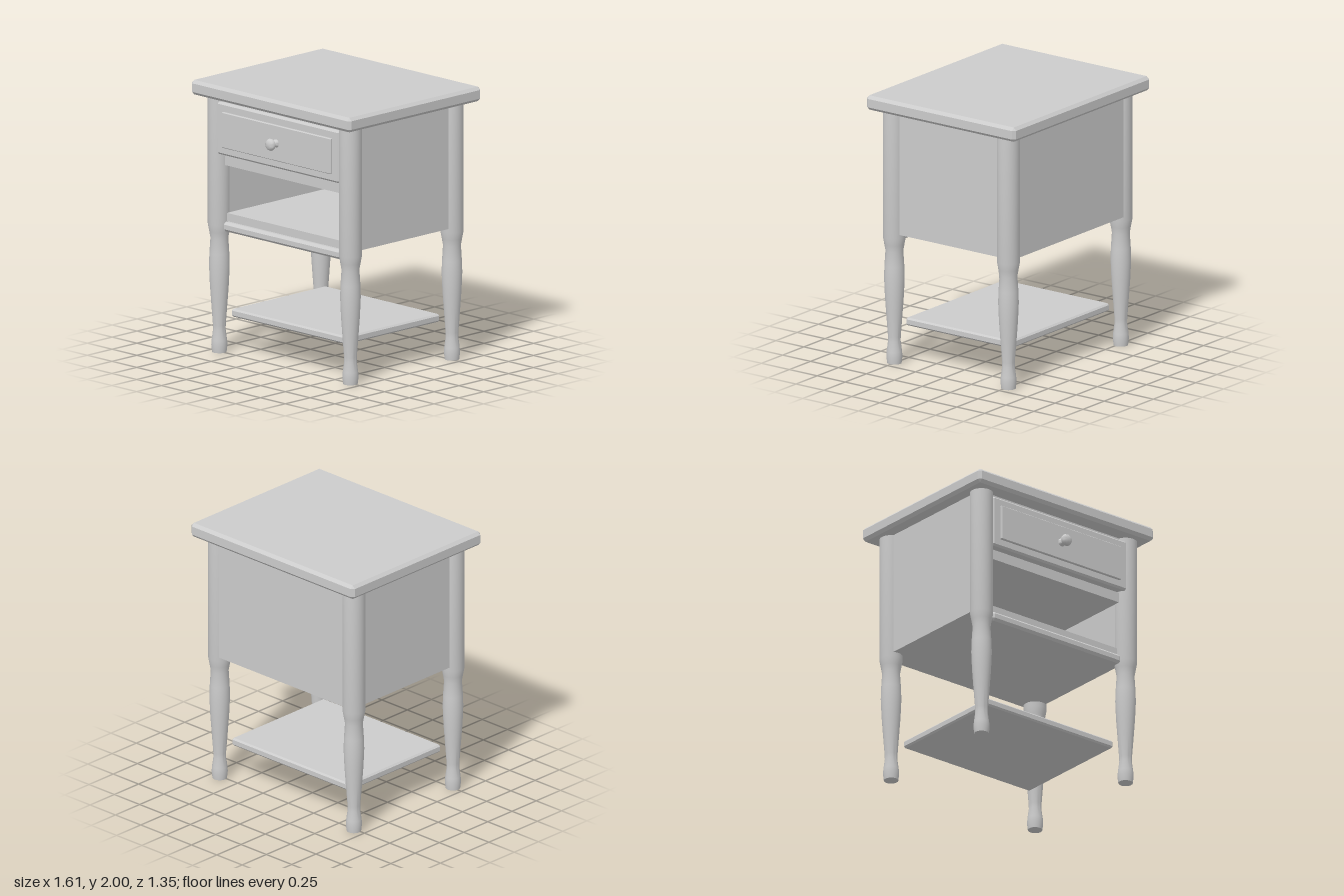
import * as THREE from 'three';
import { ConvexGeometry } from 'three/addons/geometries/ConvexGeometry.js';
import { toCreasedNormals } from 'three/addons/utils/BufferGeometryUtils.js';

export function createModel() {
  const group = new THREE.Group();
  const grey = new THREE.MeshStandardMaterial({ color: 0xcccccc });
  grey.name = 'grey';

  const add = (name, geometry) => {
    const mesh = new THREE.Mesh(geometry, grey);
    mesh.name = name;
    group.add(mesh);
    return mesh;
  };

  // Box between two corners, with all edges chamfered by c
  const block = (name, [x0, x1], [y0, y1], [z0, z1], c = 0) => {
    const size = [x1 - x0, y1 - y0, z1 - z0];
    let geometry;
    if (c > 0) {
      const points = [];
      for (const sx of [-1, 1]) for (const sy of [-1, 1]) for (const sz of [-1, 1]) {
        for (let axis = 0; axis < 3; axis++) {
          const p = [sx, sy, sz].map((s, i) => s * (size[i] / 2 - (i === axis ? 0 : c)));
          points.push(new THREE.Vector3(...p));
        }
      }
      geometry = new ConvexGeometry(points);
    } else {
      geometry = new THREE.BoxGeometry(...size);
    }
    add(name, geometry).position.set((x0 + x1) / 2, (y0 + y1) / 2, (z0 + z1) / 2);
  };

  const lathe = (profile, sides) =>
    new THREE.LatheGeometry(profile.map(([r, y]) => new THREE.Vector2(r, y)), sides);

  // Table top
  block('tableTop', [-0.805, 0.805], [1.893, 2], [-0.677, 0.66], 0.022);

  // Four turned legs
  const legGeometry = toCreasedNormals(lathe([
    [0, 0], [0.052, 0], [0.058, 0.05], [0.055, 0.09], [0.045, 0.165], [0.046, 0.2],
    [0.058, 0.36], [0.068, 0.5], [0.074, 0.64], [0.071, 0.73], [0.064, 0.84],
    [0.073, 0.89], [0.083, 0.945], [0.083, 1.9], [0, 1.9],
  ], 32), 0.6);
  for (const x of [-0.662, 0.662]) for (const z of [-0.516, 0.506]) {
    add(`${z > 0 ? 'front' : 'back'}${x > 0 ? 'Left' : 'Right'}Leg`, legGeometry).position.set(x, 0, z);
  }

  // Case around the open compartment
  block('leftSidePanel', [0.582, 0.7], [0.975, 1.9], [-0.52, 0.5]);
  block('rightSidePanel', [-0.7, -0.582], [0.975, 1.9], [-0.52, 0.5]);
  block('backPanel', [-0.66, 0.66], [0.975, 1.9], [-0.58, -0.48]);
  block('compartmentFloor', [-0.585, 0.585], [0.975, 1.035], [-0.49, 0.51]);
  block('drawerBox', [-0.585, 0.585], [1.39, 1.9], [-0.49, 0.51]);

  // Front rails
  block('lowerRail', [-0.59, 0.59], [0.905, 0.975], [0.47, 0.55], 0.018);
  block('middleRail', [-0.585, 0.585], [1.39, 1.465], [0.48, 0.53]);
  block('upperRail', [-0.585, 0.585], [1.85, 1.9], [0.48, 0.53]);

  // Drawer front with its raised panel
  block('drawerFront', [-0.618, 0.618], [1.475, 1.86], [0.49, 0.58], 0.014);
  block('drawerPanel', [-0.55, 0.55], [1.535, 1.797], [0.57, 0.597], 0.005);

  // Knob
  const knob = add('drawerKnob', toCreasedNormals(lathe([
    [0.03, 0], [0.026, 0.008], [0.014, 0.022], [0.014, 0.03], [0.026, 0.038],
    [0.042, 0.046], [0.044, 0.056], [0.038, 0.07], [0.024, 0.079], [0, 0.08],
  ], 24), 0.7));
  knob.rotation.x = Math.PI / 2;
  knob.position.set(0, 1.665, 0.597);

  // Low shelf between the legs
  block('lowerShelf', [-0.58, 0.58], [0.265, 0.323], [-0.48, 0.47], 0.012);

  return group;
}
